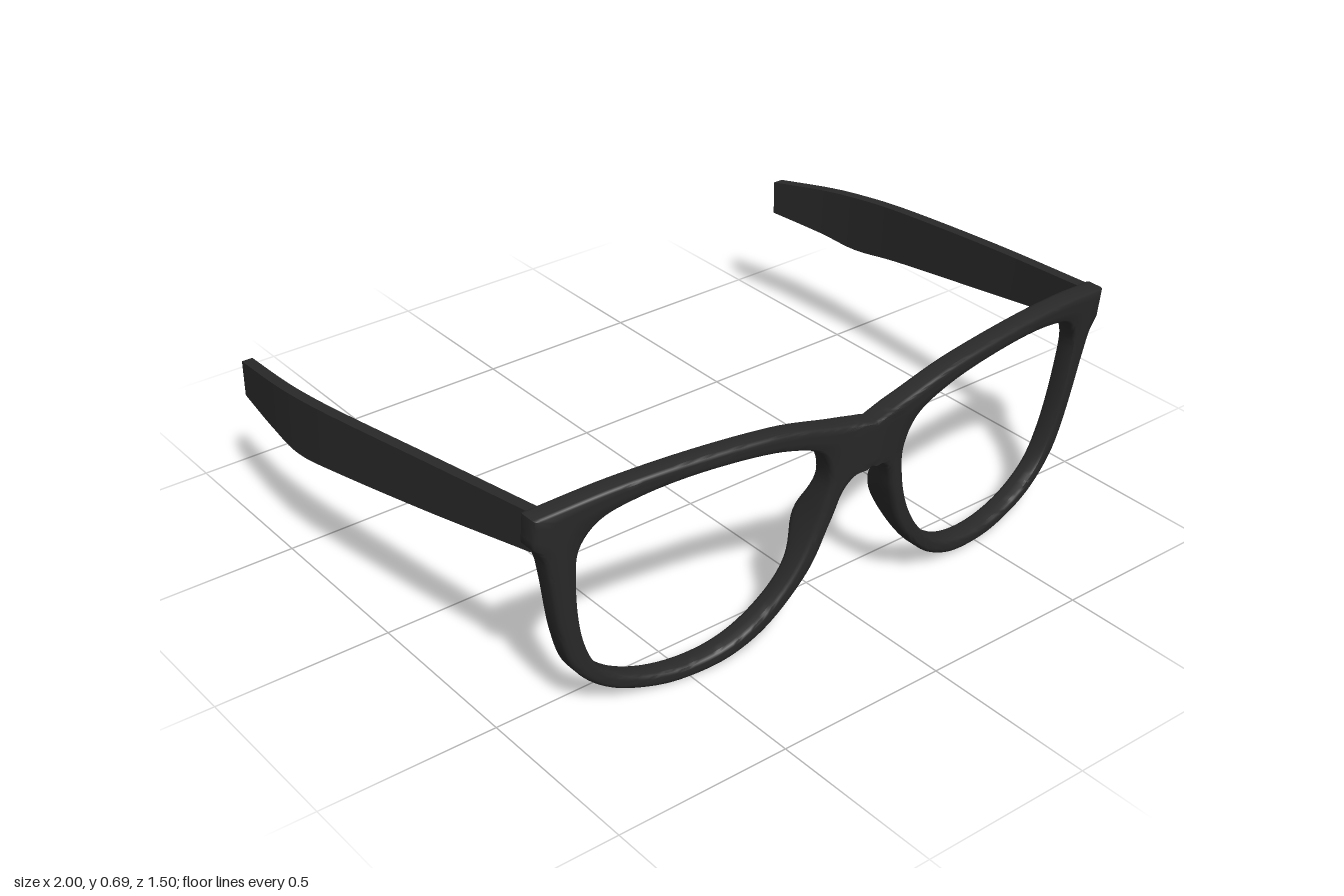
import * as THREE from 'three';
import { toCreasedNormals } from 'three/addons/utils/BufferGeometryUtils.js';

const THICK = 0.062, BEVEL = 0.011;
const v2 = list => list.map(([x, y]) => new THREE.Vector2(x, y));

// Outer edge of one half of the front, clockwise from the top of the bridge
function outerEdge() {
  const brow = new THREE.SplineCurve(v2([[0, 0.617], [0.1, 0.634], [0.28, 0.675], [0.51, 0.69], [0.74, 0.676], [0.945, 0.638]]));
  const hinge = new THREE.LineCurve(...v2([[0.945, 0.638], [0.945, 0.555]]));
  const rim = new THREE.SplineCurve(v2([[0.945, 0.555], [0.918, 0.515], [0.9, 0.44], [0.866, 0.26], [0.823, 0.144],
    [0.736, 0.06], [0.62, 0.016], [0.51, 0.003], [0.38, 0.02], [0.265, 0.084], [0.157, 0.21], [0.103, 0.34],
    [0.077, 0.425], [0.042, 0.468], [0, 0.475]]));
  const seam = new THREE.LineCurve(...v2([[0, 0.475], [0, 0.617]]));
  return [[brow, 40], [hinge, 4], [rim, 90], [seam, 6]]
    .flatMap(([curve, n]) => curve.getPoints(n).slice(0, -1));
}

// Edge of one lens opening
function lensEdge() {
  const points = [[0.51, 0.645], [0.28, 0.623], [0.16, 0.57], [0.125, 0.49], [0.136, 0.395], [0.182, 0.26],
    [0.262, 0.146], [0.375, 0.068], [0.51, 0.043], [0.656, 0.068], [0.757, 0.133], [0.805, 0.235],
    [0.832, 0.42], [0.827, 0.53], [0.78, 0.595], [0.68, 0.63]];
  return new THREE.CatmullRomCurve3(points.map(([x, y]) => new THREE.Vector3(x, y, 0)), true)
    .getPoints(1500).map(p => new THREE.Vector2(p.x, p.y));
}

// Wraps the front around the face, tilts it and swells the nose pads at the back
function frontDepth(x, y, depth) {
  const pad = Math.exp(-(((x - 0.13) / 0.06) ** 2) - ((y - 0.33) / 0.1) ** 2);
  const face = 0.737 - 0.129 * x * x - 0.11 * (0.62 - y) + 0.012 * Math.exp(-((x / 0.06) ** 2));
  return face - depth * (1 + 0.8 * pad);
}

// Front: a rounded section swept between the outer edge and each lens opening
function frontGeometry() {
  const outer = outerEdge(), lens = lensEdge();
  const centre = new THREE.Vector2(0.5, 0.5);

  // section entries: position from outer (0) to inner (1), inset, depth
  const half = [[0, 0, THICK / 2], [0, 0, BEVEL], [0, 0.3, 0.3 * BEVEL], [0, 1, 0], [0.33, 1, 0],
    [0.67, 1, 0], [1, 1, 0], [1, 0.3, 0.3 * BEVEL], [1, 0, BEVEL], [1, 0, THICK / 2]];
  const section = [...half, ...half.slice(1, -1).reverse().map(([s, inset, d]) => [s, inset, THICK - d])];
  const n = section.length, positions = [], index = [];

  for (const side of [1, -1]) {
    const start = positions.length / 3;
    outer.forEach((o, j) => {
      const dir = o.clone().sub(centre).normalize();
      let inner = lens[0], best = -2;
      for (const p of lens) {
        const dot = p.clone().sub(centre).normalize().dot(dir);
        if (dot > best) { best = dot; inner = p; }
      }
      // along the middle seam only the top and bottom corners are rounded
      const onSeam = o.x < 1e-6;
      const edge = onSeam
        ? new THREE.Vector2(0, o.y > 0.61 ? -1 : o.y < 0.48 ? 1 : 0)
        : dir.clone().negate();
      section.forEach(([s, inset, depth], k) => {
        const a = o.clone().addScaledVector(edge, inset * BEVEL);
        const b = inner.clone().addScaledVector(dir, inset * BEVEL);
        const p = a.lerp(b, s);
        positions.push(side * p.x, p.y, frontDepth(p.x, p.y, depth));

        const j2 = (j + 1) % outer.length, k2 = (k + 1) % n;
        const hidden = onSeam && outer[j2].x < 1e-6 && s === 0 && section[k2][0] === 0;
        if (hidden) return;
        const [A, B, C, D] = [[j, k], [j, k2], [j2, k2], [j2, k]].map(([u, v]) => start + u * n + v);
        if (side > 0) index.push(A, B, C, A, C, D);
        else index.push(A, C, B, A, D, C);
      });
    });
  }
  const geo = new THREE.BufferGeometry();
  geo.setAttribute('position', new THREE.Float32BufferAttribute(positions, 3));
  geo.setIndex(index);
  return toCreasedNormals(geo, 0.9);
}

// Temple arm: a thin box fitted between a top and a bottom curve
function templeGeometry(side) {
  const stations = [ // z, x, top, bottom
    [0.58, 0.915, 0.64, 0.53], [0.2, 0.95, 0.603, 0.46], [-0.2, 0.98, 0.557, 0.39],
    [-0.4, 0.984, 0.53, 0.355], [-0.55, 0.975, 0.507, 0.359], [-0.75, 0.95, 0.47, 0.364],
  ];
  const edge = k => new THREE.CatmullRomCurve3(
    stations.map(s => new THREE.Vector3(s[1], s[k], s[0])), false, 'catmullrom');
  const top = edge(2), bottom = edge(3);
  const geo = new THREE.BoxGeometry(0.032, 1, 1, 1, 1, 40);
  const pos = geo.attributes.position;
  for (let i = 0; i < pos.count; i++) {
    const t = 0.5 - pos.getZ(i);
    const p = bottom.getPoint(t).lerp(top.getPoint(t), pos.getY(i) + 0.5);
    pos.setXYZ(i, side * p.x + pos.getX(i), p.y, p.z);
  }
  return toCreasedNormals(geo, 0.6);
}

export function createModel() {
  const black = new THREE.MeshStandardMaterial({ color: 0x2a2a2a });
  black.name = 'matte black';
  const model = new THREE.Group();
  model.name = 'eyeglasses';
  const add = (name, geo) => {
    const mesh = new THREE.Mesh(geo, black);
    mesh.name = name;
    model.add(mesh);
  };
  add('frontFrame', frontGeometry());
  add('leftTemple', templeGeometry(1));
  add('rightTemple', templeGeometry(-1));
  return model;
}
